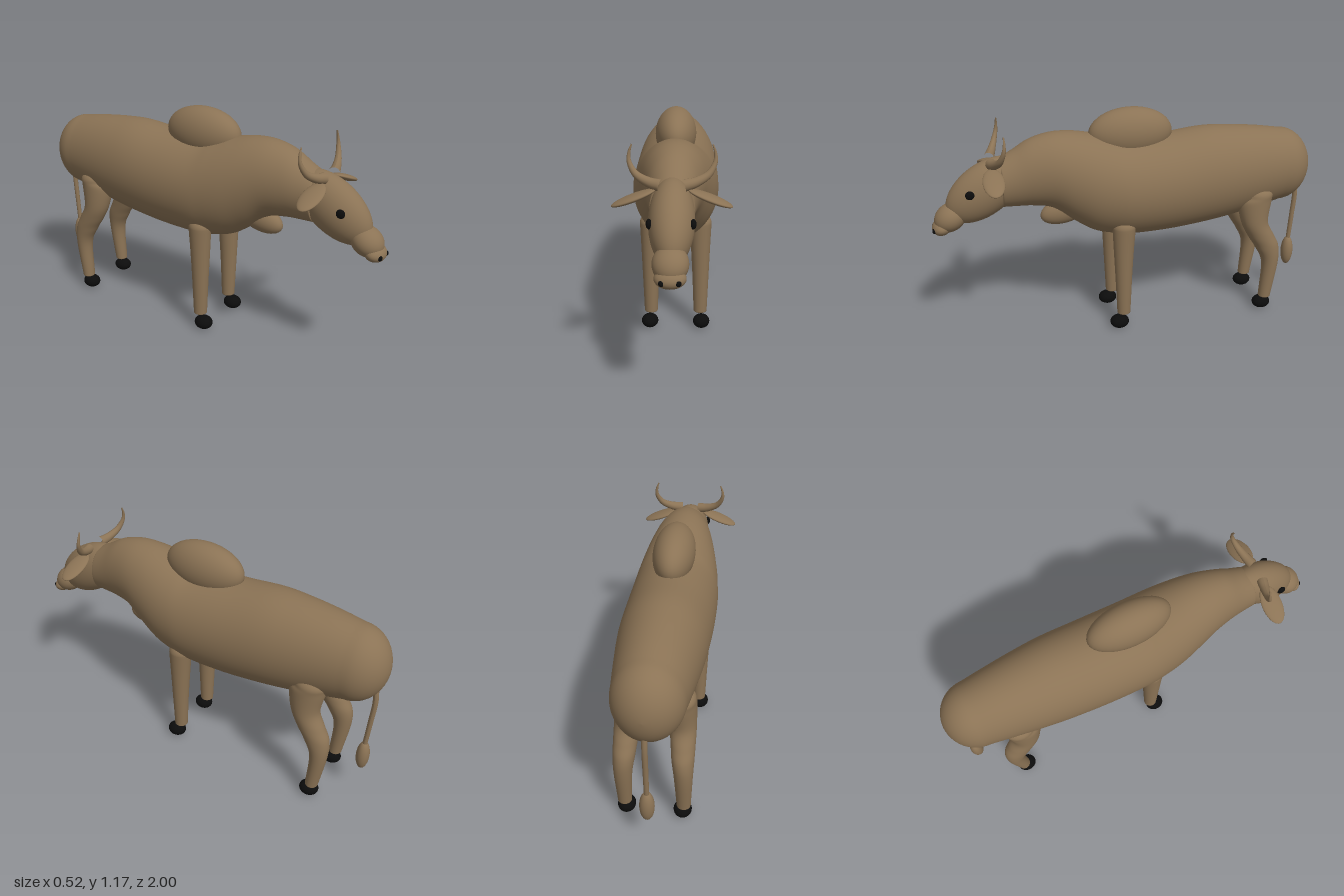
import * as THREE from 'three';

const hide = new THREE.MeshStandardMaterial({ color: 0x8b7355 });
hide.name = 'brown hide';
const black = new THREE.MeshStandardMaterial({ color: 0x0c0c0c });
black.name = 'black';

// Smooth loft through elliptical sections [t, x, c, rx, rc] along 'z' or 'y', with rounded ends
function loft(sections, axis, capStart, capEnd, steps = 48, sides = 40) {
  const centre = new THREE.CatmullRomCurve3(sections.map(s => new THREE.Vector3(s[0], s[1], s[2])), false, 'catmullrom');
  const radius = new THREE.CatmullRomCurve3(sections.map(s => new THREE.Vector3(s[3], s[4], 0)), false, 'catmullrom');
  const rows = [];
  const add = (u, shift, scale) => {
    const p = centre.getPoint(u), r = radius.getPoint(u);
    rows.push([p.x + shift, p.y, p.z, r.x * scale, r.y * scale]);
  };
  const N = 12;
  const ang = k => (k / N) * Math.PI / 2;
  for (let k = N; k > 0; k--) add(0, -capStart * Math.sin(ang(k)), Math.max(Math.cos(ang(k)), 1e-4));
  for (let i = 0; i <= steps; i++) add(i / steps, 0, 1);
  for (let k = 1; k <= N; k++) add(1, capEnd * Math.sin(ang(k)), Math.max(Math.cos(ang(k)), 1e-4));

  const pos = [], idx = [];
  rows.forEach(([t, x, c, rx, rc], i) => {
    for (let j = 0; j < sides; j++) {
      const a = (j / sides) * Math.PI * 2;
      const px = x + rx * Math.cos(a), s = rc * Math.sin(a);
      if (axis === 'z') pos.push(px, c + s, t);
      else pos.push(px, t, c - s);
      if (i < rows.length - 1) {
        const p = i * sides + j, q = i * sides + (j + 1) % sides;
        idx.push(p, q, q + sides, p, q + sides, p + sides);
      }
    }
  });
  const g = new THREE.BufferGeometry();
  g.setAttribute('position', new THREE.Float32BufferAttribute(pos, 3));
  g.setIndex(idx);
  g.computeVertexNormals();
  return g;
}

// Tube whose radius runs from r0 to r1
function taperedTube(points, r0, r1, steps = 32, sides = 16) {
  const curve = new THREE.CatmullRomCurve3(points.map(p => new THREE.Vector3(...p)));
  const g = new THREE.TubeGeometry(curve, steps, 1, sides, false);
  const p = g.attributes.position, v = new THREE.Vector3();
  for (let i = 0; i < p.count; i++) {
    const u = Math.floor(i / (sides + 1)) / steps;
    const c = curve.getPointAt(u);
    v.fromBufferAttribute(p, i).sub(c).multiplyScalar(r0 + (r1 - r0) * u).add(c);
    p.setXYZ(i, v.x, v.y, v.z);
  }
  g.computeVertexNormals();
  return g;
}

export function createModel() {
  const model = new THREE.Group();
  model.name = 'humpedOx';

  const part = (name, geometry, material = hide) => {
    const m = new THREE.Mesh(geometry, material);
    m.name = name;
    model.add(m);
    return m;
  };
  const ellipsoid = (name, centre, radii, material = hide, rotation = [0, 0, 0]) => {
    const m = part(name, new THREE.SphereGeometry(1, 36, 24), material);
    m.position.set(...centre);
    m.scale.set(...radii);
    m.rotation.set(...rotation);
    return m;
  };

  // Body and neck: [z, top, bottom, half width]
  const body = [
    [-0.83, 1.0, 0.604, 0.165], [-0.7, 1.02, 0.575, 0.182], [-0.55, 1.035, 0.545, 0.2],
    [-0.4, 1.04, 0.523, 0.213], [-0.2, 1.02, 0.505, 0.22], [0, 1.012, 0.502, 0.22],
    [0.1, 1.03, 0.515, 0.213], [0.2, 1.053, 0.545, 0.2], [0.3, 1.07, 0.61, 0.178],
    [0.4, 1.07, 0.685, 0.152], [0.5, 1.045, 0.706, 0.127], [0.58, 1.0, 0.71, 0.11],
    [0.645, 0.965, 0.712, 0.1],
  ].map(([z, top, bottom, w]) => [z, 0, (top + bottom) / 2, w, (top - bottom) / 2]);
  part('body', loft(body, 'z', 0.168, 0.01, 72, 48));
  ellipsoid('hump', [0, 1.04, -0.01], [0.103, 0.13, 0.216]);
  ellipsoid('dewlap', [0, 0.66, 0.33], [0.055, 0.07, 0.135], hide, [0.25, 0, 0]);

  // Head
  const tilt = 0.61;
  ellipsoid('head', [0, 0.808, 0.73], [0.1, 0.128, 0.22], hide, [tilt, 0, 0]);
  ellipsoid('muzzle', [0, 0.68, 0.905], [0.077, 0.068, 0.085], hide, [tilt, 0, 0]);
  ellipsoid('nose', [0, 0.635, 0.95], [0.067, 0.04, 0.05], hide, [0.3, 0, 0]);

  // Tail
  part('tail', taperedTube([[0, 0.72, -0.945], [0, 0.62, -0.957], [0, 0.48, -0.95], [0, 0.32, -0.94]], 0.014, 0.012));
  ellipsoid('tailTuft', [0, 0.265, -0.94], [0.035, 0.085, 0.033]);

  for (const [side, s] of [['left', 1], ['right', -1]]) {
    // Face details
    ellipsoid(side + 'Eye', [s * 0.092, 0.818, 0.807], [0.013, 0.022, 0.022], black);
    ellipsoid(side + 'Nostril', [s * 0.034, 0.628, 0.987], [0.013, 0.013, 0.011], black);
    ellipsoid(side + 'Ear', [s * 0.165, 0.897, 0.695], [0.102, 0.016, 0.052], hide, [0, 0, -s * 0.37]);

    // Horn, curving outwards and up
    part(side + 'Horn', taperedTube([
      [s * 0.05, 0.952, 0.695], [s * 0.1, 0.963, 0.68], [s * 0.155, 0.993, 0.66],
      [s * 0.184, 1.045, 0.642], [s * 0.183, 1.085, 0.637], [s * 0.172, 1.118, 0.637],
    ], 0.027, 0.003));

    // Legs: [y, x, z, half width, half depth]
    part(side + 'FrontLeg', loft([
      [0.09, s * 0.131, 0.06, 0.035, 0.035], [0.3, s * 0.131, 0.06, 0.043, 0.044],
      [0.45, s * 0.13, 0.059, 0.05, 0.052], [0.58, s * 0.13, 0.057, 0.056, 0.06],
    ], 'y', 0.012, 0.052, 24, 28));
    part(side + 'HindLeg', loft([
      [0.08, s * 0.143, -0.747, 0.034, 0.033], [0.28, s * 0.142, -0.765, 0.044, 0.045],
      [0.38, s * 0.137, -0.742, 0.053, 0.066], [0.45, s * 0.133, -0.703, 0.058, 0.072],
      [0.53, s * 0.127, -0.665, 0.064, 0.073], [0.64, s * 0.115, -0.662, 0.075, 0.091],
      [0.68, s * 0.11, -0.675, 0.078, 0.085],
    ], 'y', 0.012, 0.055, 40, 28));

    // Hooves
    ellipsoid(side + 'FrontHoof', [s * 0.137, 0.038, 0.085], [0.044, 0.036, 0.05], black);
    ellipsoid(side + 'HindHoof', [s * 0.137, 0.038, -0.733], [0.044, 0.036, 0.05], black);
  }
  return model;
}
